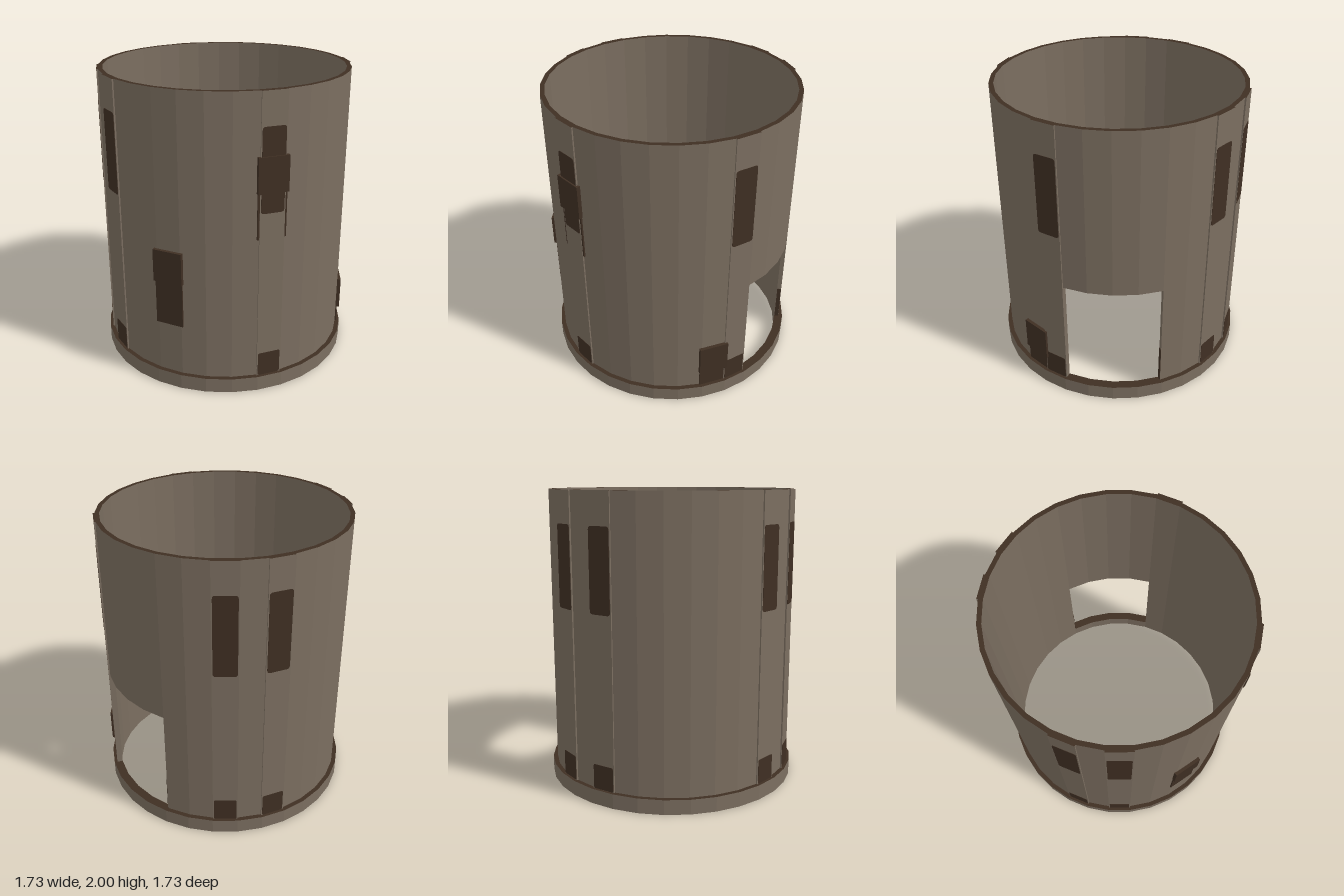
import * as THREE from 'three';

const SIDES = 32;
const STEP = (Math.PI * 2) / SIDES;

export function createModel() {
  const model = new THREE.Group();
  model.name = 'roundTower';

  const stone = new THREE.MeshStandardMaterial({ color: 0x7b6e60 });
  stone.name = 'taupe stone';
  const dark = new THREE.MeshStandardMaterial({ color: 0x3f2f23 });
  dark.name = 'dark brown';

  // Point on the ground plan; angle index 0 faces the front, growing toward +x
  const point = (r, i) => new THREE.Vector2(r * Math.sin(i * STEP), -r * Math.cos(i * STEP));
  const arc = (r, from, to) =>
    Array.from({ length: to - from + 1 }, (_, k) => point(r, from + k));

  // Faceted wall between two radii: dark top and bottom, stone sides
  function wall(name, inner, outer, y0, y1, from = 0, to = SIDES) {
    let shape;
    if (to - from === SIDES) {
      shape = new THREE.Shape(arc(outer, 0, SIDES - 1));
      shape.holes.push(new THREE.Path(arc(inner, 0, SIDES - 1).reverse()));
    } else {
      shape = new THREE.Shape([...arc(outer, from, to), ...arc(inner, from, to).reverse()]);
    }
    const geo = new THREE.ExtrudeGeometry(shape, { depth: y1 - y0, bevelEnabled: false });
    geo.rotateX(-Math.PI / 2).translate(0, y0, 0);
    const mesh = new THREE.Mesh(geo, [dark, stone]);
    mesh.name = name;
    model.add(mesh);
  }

  // Places a mesh on the middle of a facet, outer face at distance r
  function onFacet(name, geo, facet, r, y) {
    const mesh = new THREE.Mesh(geo, dark);
    const a = (facet + 0.5) * STEP;
    mesh.name = name;
    mesh.position.set(r * Math.sin(a), y, r * Math.cos(a));
    mesh.rotation.y = a;
    model.add(mesh);
  }

  // Thin panel with rounded corners
  function panel(w, h, c) {
    const s = new THREE.Shape();
    const x = w / 2, y = h / 2;
    s.moveTo(-x + c, -y).lineTo(x - c, -y).quadraticCurveTo(x, -y, x, -y + c);
    s.lineTo(x, y - c).quadraticCurveTo(x, y, x - c, y);
    s.lineTo(-x + c, y).quadraticCurveTo(-x, y, -x, y - c);
    s.lineTo(-x, -y + c).quadraticCurveTo(-x, -y, -x + c, -y);
    return new THREE.ExtrudeGeometry(s, { depth: 0.004, bevelEnabled: false, curveSegments: 3 });
  }

  // Base ring and main walls, with a doorway four facets wide on +x
  wall('baseRing', 0.805, 0.865, 0, 0.1);
  wall('lowerWall', 0.805, 0.835, 0.1, 0.87, 10, 38);
  wall('upperWall', 0.805, 0.835, 0.87, 2);

  // Raised pilasters with a tall dark panel above and a short one at the foot
  for (const facet of [-2, 5, 12, 14, 21, 23]) {
    wall('pilaster', 0.834, 0.845, 0.1, 2, facet, facet + 1);
    onFacet('pilasterPanel', panel(0.152, 0.54, 0.02), facet, 0.839, 1.52);
    onFacet('pilasterFoot', panel(0.152, 0.165, 0.012), facet, 0.839, 0.184);
  }

  // Sliding plates: a raised upper plate over a flatter lower one
  const plates = [
    { facet: -2, low: 1.08, mid: 1.38, top: 1.61 },
    { facet: -6, low: 0.455, mid: 0.76, top: 0.98 },
    { facet: 4, low: 0.1, mid: 0.22, top: 0.445 },
  ];
  for (const { facet, low, mid, top } of plates) {
    onFacet('upperPlate', new THREE.BoxGeometry(0.2, top - mid, 0.026), facet, 0.84, (mid + top) / 2);
    onFacet('lowerPlate', new THREE.BoxGeometry(0.19, mid - low, 0.014), facet, 0.831, (low + mid) / 2);
  }

  // Small dark plate at the foot of the rear door jamb
  const jamb = new THREE.Mesh(new THREE.BoxGeometry(0.006, 0.27, 0.028), dark);
  jamb.name = 'jambPlate';
  const a = 10 * STEP;
  jamb.position.set(0.82 * Math.sin(a), 0.235, 0.82 * Math.cos(a));
  jamb.rotation.y = a;
  model.add(jamb);
  // The doorway's rear side mirrors the front one
  jamb.position.z = -0.82 * Math.cos(6 * STEP);
  jamb.position.x = 0.82 * Math.sin(6 * STEP);
  jamb.rotation.y = Math.PI - 6 * STEP;

  return model;
}
